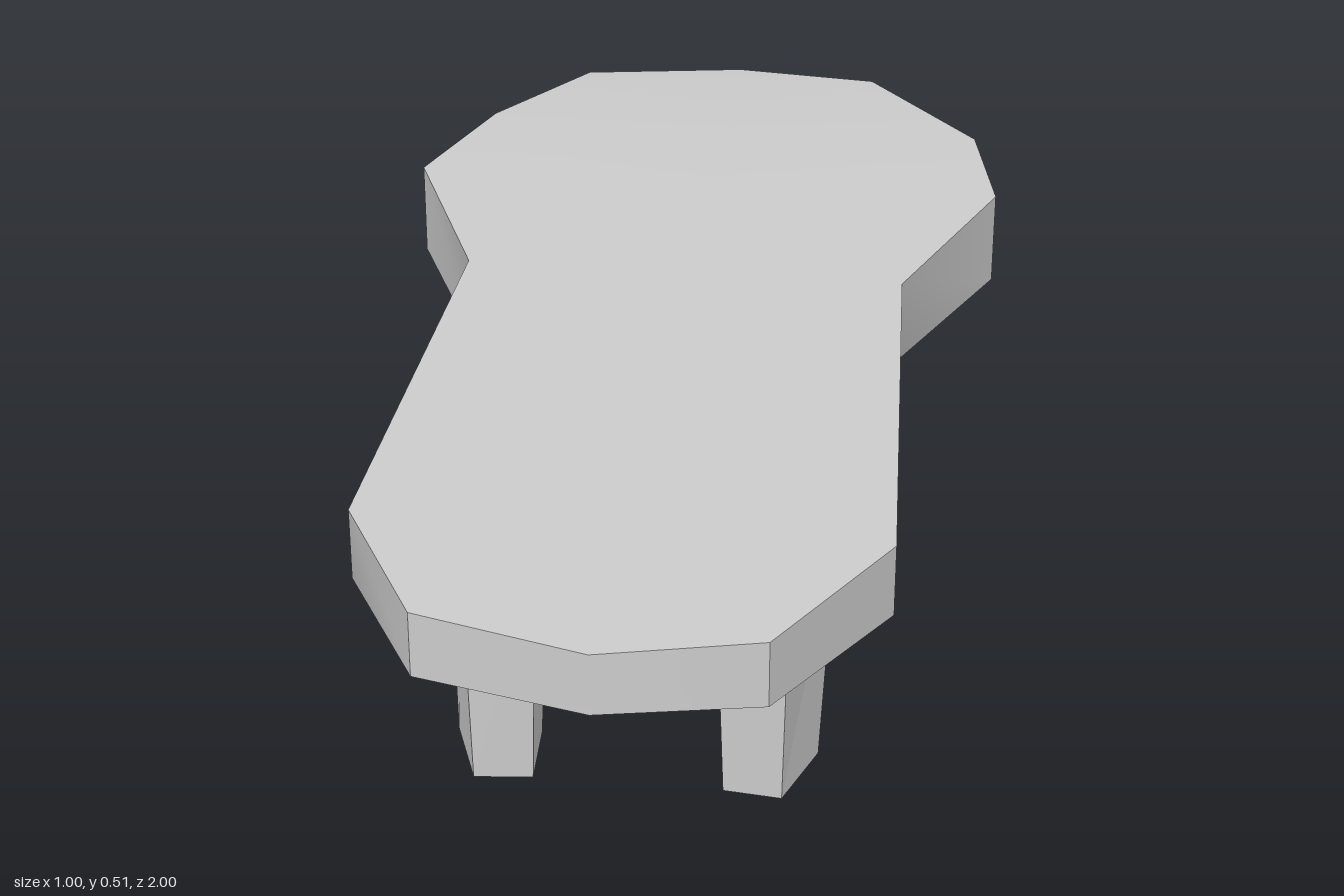
import * as THREE from 'three';
import { toCreasedNormals } from 'three/addons/utils/BufferGeometryUtils.js';

const material = new THREE.MeshStandardMaterial({ color: 0xcccccc });
const legMaterial = new THREE.MeshStandardMaterial({ color: 0xcccccc, flatShading: true });

// Cross-sections of the slab from back to front:
// left x, left z, right x, right z, rim bottom, rim top, spine bottom, spine top
const sections = [
  [0, -1, 0, -1, 0.38, 0.485, 0.38, 0.485],
  [0.25, -0.95, -0.275, -0.93, 0.375, 0.495, 0.375, 0.49],
  [0.45, -0.67, -0.41, -0.68, 0.35, 0.514, 0.362, 0.5],
  [0.495, -0.46, -0.5, -0.46, 0.345, 0.503, 0.362, 0.5],
  [0.355, -0.12, -0.36, -0.12, 0.36, 0.498, 0.363, 0.497],
  [0.395, 0.68, -0.395, 0.675, 0.372, 0.488, 0.374, 0.485],
  [0.24, 0.94, -0.26, 0.925, 0.377, 0.482, 0.377, 0.481],
  [0, 0.995, 0, 0.995, 0.381, 0.479, 0.381, 0.479],
];

// Closed loft through six-point rings; the end rings collapse to a vertical edge
function slabGeometry() {
  const rings = sections.map(([lx, lz, rx, rz, bottom, top, midBottom, midTop]) => {
    const mx = (lx + rx) / 2, mz = (lz + rz) / 2;
    return [
      [lx, top, lz], [mx, midTop, mz], [rx, top, rz],
      [rx, bottom, rz], [mx, midBottom, mz], [lx, bottom, lz],
    ].map((p) => new THREE.Vector3(...p));
  });
  const positions = [];
  const tri = (a, b, c) => {
    if (new THREE.Triangle(a, b, c).getArea() < 1e-7) return;
    for (const p of [a, b, c]) positions.push(p.x, p.y, p.z);
  };
  for (let i = 0; i < rings.length - 1; i++) {
    for (let j = 0; j < 6; j++) {
      const k = (j + 1) % 6;
      const a = rings[i][j], b = rings[i][k], c = rings[i + 1][k], d = rings[i + 1][j];
      tri(a, b, c);
      tri(a, c, d);
    }
  }
  const geometry = new THREE.BufferGeometry();
  geometry.setAttribute('position', new THREE.Float32BufferAttribute(positions, 3));
  geometry.computeVertexNormals();
  return toCreasedNormals(geometry, 0.55);
}

// Leg corners [x, z] in the order inner back, outer back, inner front, outer front
const legs = {
  frontLeg: {
    foot: [[0.15, 0.5], [0.28, 0.505], [0.145, 0.62], [0.235, 0.63]],
    top: [[0.137, 0.45], [0.297, 0.455], [0.133, 0.63], [0.242, 0.64]],
  },
  backLeg: {
    foot: [[0.155, -0.745], [0.245, -0.75], [0.147, -0.62], [0.29, -0.62]],
    top: [[0.145, -0.75], [0.255, -0.755], [0.133, -0.57], [0.307, -0.57]],
  },
};

// Box whose eight corners move to the leg's foot and top outlines
function legGeometry({ foot, top }, side) {
  const geometry = new THREE.BoxGeometry(2, 2, 2);
  const p = geometry.attributes.position;
  for (let i = 0; i < p.count; i++) {
    const outer = p.getX(i) * side > 0 ? 1 : 0;
    const front = p.getZ(i) > 0 ? 2 : 0;
    const up = p.getY(i) > 0;
    const [x, z] = (up ? top : foot)[outer + front];
    p.setXYZ(i, x * side, up ? 0.385 : 0, z);
  }
  geometry.computeVertexNormals();
  return geometry;
}

export function createModel() {
  const model = new THREE.Group();
  model.name = 'lowBench';

  const slab = new THREE.Mesh(slabGeometry(), material);
  slab.name = 'slab';
  model.add(slab);

  for (const [name, shape] of Object.entries(legs)) {
    for (const side of [1, -1]) {
      const leg = new THREE.Mesh(legGeometry(shape, side), legMaterial);
      leg.name = name + (side > 0 ? 'Left' : 'Right');
      model.add(leg);
    }
  }
  return model;
}
